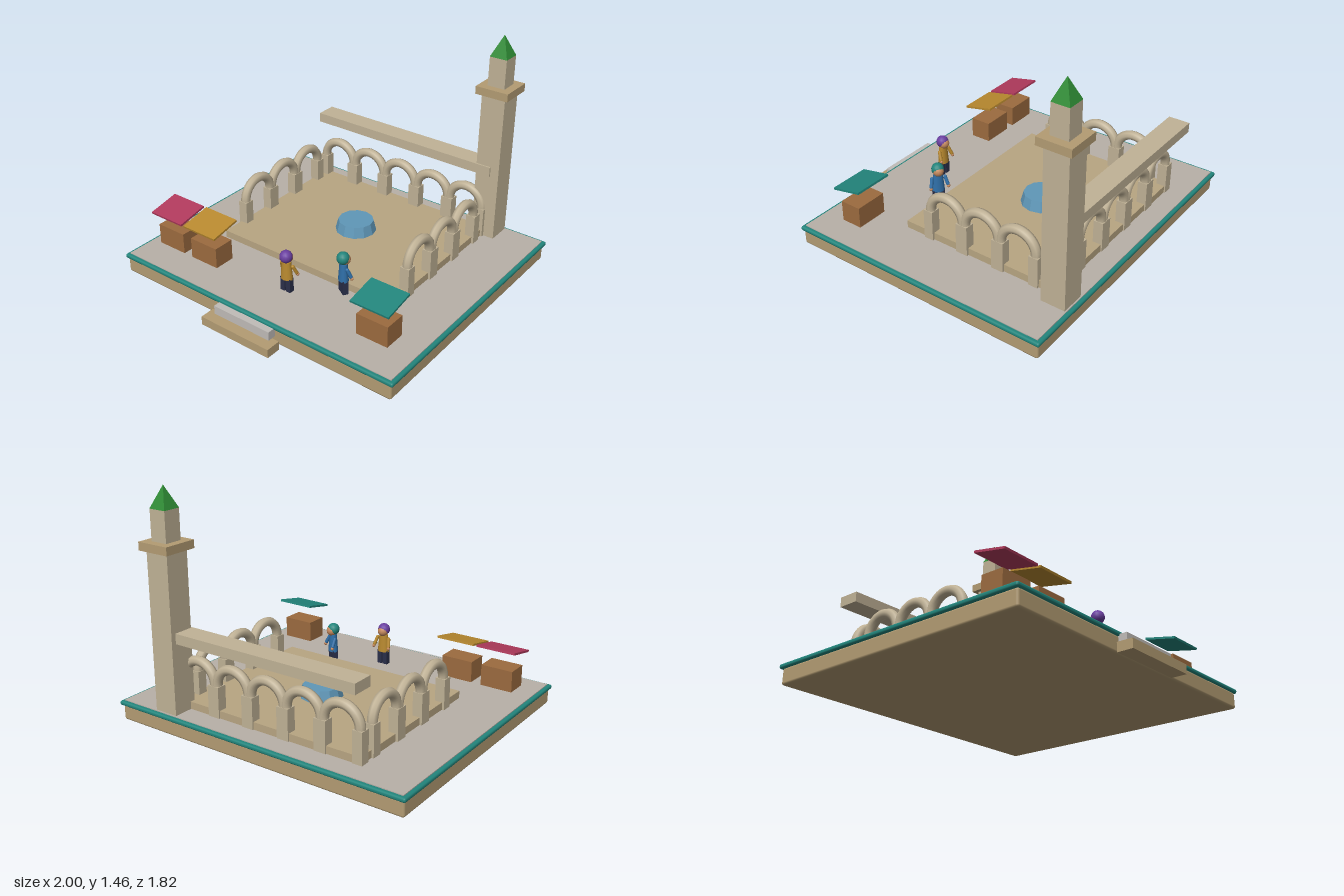
import * as THREE from 'three';
import { RoundedBoxGeometry } from 'three/addons/geometries/RoundedBoxGeometry.js';

const mat = (color, extra = {}) => new THREE.MeshStandardMaterial({ color, ...extra });
const M = {
  sand: mat(0xc0b296), floor: mat(0xb8a582), trim: mat(0xb39c73), plaza: mat(0xb8b0a8),
  teal: mat(0x22857c), step: mat(0xc0bcb8), green: mat(0x2e8b34, { flatShading: true }),
  water: mat(0x5f97b8, { flatShading: true }), wood: mat(0x9c6b3f), red: mat(0xb03a5c),
  gold: mat(0xb8892f), purple: mat(0x6a3fa0), blue: mat(0x2f6fa8), navy: mat(0x2a2f4a),
  skin: mat(0xc68a5e),
};

function add(parent, name, geometry, material, x = 0, y = 0, z = 0) {
  const mesh = new THREE.Mesh(geometry, material);
  mesh.name = name;
  mesh.position.set(x, y, z);
  parent.add(mesh);
  return mesh;
}

// Box given by its bottom height
function box(parent, name, material, w, h, d, x, bottom, z) {
  return add(parent, name, new THREE.BoxGeometry(w, h, d), material, x, bottom + h / 2, z);
}

function group(parent, name, x = 0, y = 0, z = 0) {
  const g = new THREE.Group();
  g.name = name;
  g.position.set(x, y, z);
  parent.add(g);
  return g;
}

// Half-ring arch on two square posts
function arch(parent, name, x, z, turn) {
  const R = 0.117, r = 0.03, spring = 0.19;
  const g = group(parent, name, x, 0.137, z);
  g.rotation.y = turn;
  add(g, 'archRing', new THREE.TorusGeometry(R, r, 8, 20, Math.PI), M.sand, 0, spring, 0);
  for (const s of [-1, 1]) box(g, 'archPost', M.sand, 0.062, spring, 0.062, s * R, 0, 0);
}

// Crate with a tilted awning above it
function stall(parent, x, cloth) {
  const g = group(parent, 'marketStall', x, 0, 0.543);
  box(g, 'crate', M.wood, 0.205, 0.132, 0.137, 0, 0.165, 0);
  const awning = add(g, 'awning', new THREE.BoxGeometry(0.25, 0.013, 0.202), cloth, 0, 0.404, 0);
  awning.rotation.x = 0.2;
}

// Small standing figure, facing -z before turning
function visitor(parent, x, z, turn, shirt, cap) {
  const g = group(parent, 'visitor', x, 0.137, z);
  g.rotation.y = turn;
  for (const s of [-1, 1]) {
    box(g, 'leg', M.navy, 0.032, 0.09, 0.034, s * 0.02, 0, 0);
    const arm = group(g, 'arm', s * 0.041, 0.178, -0.004);
    arm.rotation.set(0.4, 0, s * 0.22);
    add(arm, 'sleeve', new THREE.CapsuleGeometry(0.011, 0.05, 4, 8), shirt, 0, -0.03, 0);
    add(arm, 'hand', new THREE.SphereGeometry(0.011, 8, 6), M.skin, 0, -0.068, 0);
  }
  const torso = add(g, 'torso', new THREE.CylinderGeometry(0.03, 0.04, 0.115, 12), shirt, 0, 0.14, 0);
  torso.scale.z = 0.75;
  add(g, 'head', new THREE.SphereGeometry(0.034, 14, 10), M.skin, 0, 0.222, -0.009);
  add(g, 'cap', new THREE.SphereGeometry(0.039, 14, 10), cap, 0, 0.231, 0.003);
}

export function createModel() {
  const model = new THREE.Group();
  model.name = 'courtyardWithTower';

  // Plinth, rim and paving
  add(model, 'plinth', new RoundedBoxGeometry(1.97, 0.1, 1.69, 2, 0.014), M.trim, 0, 0.06, -0.05);
  add(model, 'rim', new RoundedBoxGeometry(2, 0.028, 1.716, 2, 0.012), M.teal, 0, 0.118, -0.053);
  box(model, 'plaza', M.plaza, 1.955, 0.02, 1.672, 0, 0.117, -0.053);

  // Entrance steps
  box(model, 'lowerStep', M.trim, 0.5, 0.055, 0.095, 0, 0, 0.862);
  box(model, 'upperStep', M.step, 0.41, 0.055, 0.06, 0, 0.06, 0.818);

  // Raised courtyard and pool
  box(model, 'courtFloor', M.floor, 1.27, 0.046, 1.04, 0, 0.137, -0.238);
  add(model, 'pool', new THREE.CylinderGeometry(0.112, 0.13, 0.068, 12), M.water, 0, 0.217, -0.24);

  // Arcades: five arches at the back, three on each side
  for (let i = -2; i <= 2; i++) arch(model, 'backArch', i * 0.25, -0.735, 0);
  for (const s of [-1, 1])
    for (let i = -1; i <= 1; i++) arch(model, 'sideArch', s * 0.618, -0.26 + i * 0.25, Math.PI / 2);
  box(model, 'roofBeam', M.sand, 1.323, 0.062, 0.135, 0, 0.568, -0.782);

  // Tower
  const tower = group(model, 'tower', 0.64, 0, -0.803);
  box(tower, 'towerShaft', M.sand, 0.155, 0.965, 0.155, 0, 0.132, 0);
  box(tower, 'towerGallery', M.trim, 0.214, 0.05, 0.214, 0, 1.097, 0);
  box(tower, 'towerLantern', M.sand, 0.112, 0.184, 0.112, 0, 1.147, 0);
  const spire = add(tower, 'spire', new THREE.ConeGeometry(0.08, 0.13, 4), M.green, 0, 1.395, 0);
  spire.rotation.y = Math.PI / 4;

  // Market stalls and visitors
  stall(model, -0.778, M.red);
  stall(model, -0.507, M.gold);
  stall(model, 0.73, M.teal);
  visitor(model, 0.045, 0.495, 0, M.gold, M.purple);
  visitor(model, 0.315, 0.31, -0.55, M.blue, M.teal);

  return model;
}
